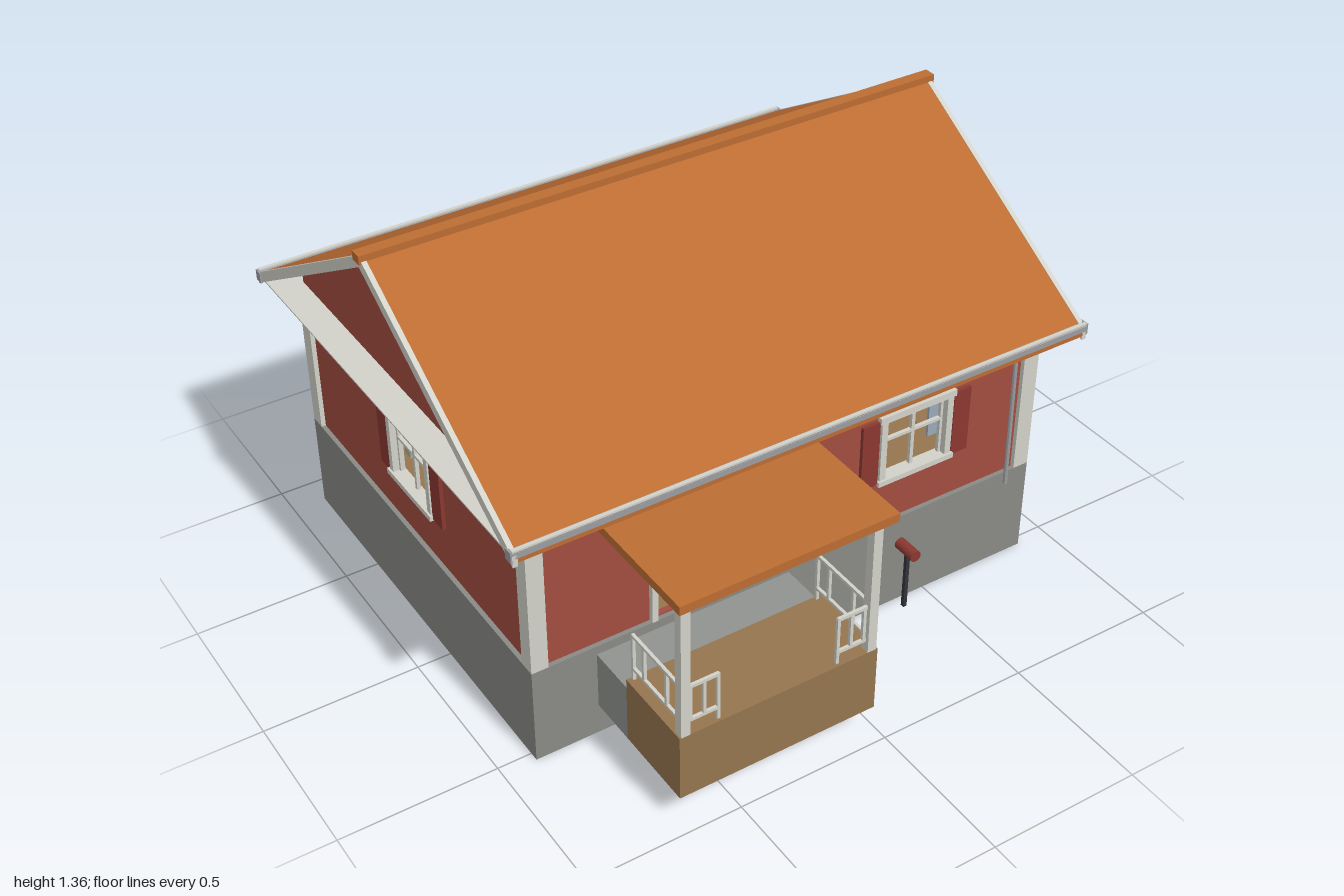
import * as THREE from 'three';

const mat = (color) => new THREE.MeshStandardMaterial({ color, side: THREE.DoubleSide, flatShading: true });
const M = {
  red: mat(0xa24d40), shutter: mat(0x8a3830), door: mat(0x6e2a26), roof: mat(0xbc6d33),
  trim: mat(0xd2d2ca), stone: mat(0x898985), gutter: mat(0x9a9ca0), wood: mat(0x957550),
  dark: mat(0x33343a), green: mat(0xa3b396), blue: mat(0x9aaabb), step: mat(0x90938f), lamp: mat(0xc8a988),
};
const ZC = -0.185; // centre line of the house
const RIDGE = 1.35, SLOPE = 0.6, HALF = 0.815;

function add(parent, name, geo, m, x = 0, y = 0, z = 0) {
  const mesh = new THREE.Mesh(geo, m);
  mesh.name = name;
  mesh.position.set(x, y, z);
  parent.add(mesh);
  return mesh;
}

// box given by its min and max on each axis
function box(parent, name, m, x0, x1, y0, y1, z0, z1) {
  return add(parent, name, new THREE.BoxGeometry(x1 - x0, y1 - y0, z1 - z0), m,
    (x0 + x1) / 2, (y0 + y1) / 2, (z0 + z1) / 2);
}

function group(parent, name, x = 0, y = 0, z = 0, ry = 0) {
  const g = new THREE.Group();
  g.name = name;
  g.position.set(x, y, z);
  g.rotation.y = ry;
  parent.add(g);
  return g;
}

function extrude(points, depth, holes = []) {
  const s = new THREE.Shape(points.map(([x, y]) => new THREE.Vector2(x, y)));
  for (const [x0, x1, y0, y1] of holes) {
    s.holes.push(new THREE.Path([[x0, y0], [x0, y1], [x1, y1], [x1, y0]].map(([x, y]) => new THREE.Vector2(x, y))));
  }
  return new THREE.ExtrudeGeometry(s, { depth, bevelEnabled: false });
}

// window with casing, glazing bars, curtains and shutters; local z points outwards
function addWindow(wall, cx, curtain) {
  const w = group(wall, 'window', cx);
  box(w, 'windowHead', M.trim, -0.14, 0.14, 0.712, 0.735, -0.025, 0.018);
  box(w, 'windowSill', M.trim, -0.14, 0.14, 0.485, 0.503, -0.025, 0.022);
  box(w, 'centreBar', M.trim, -0.006, 0.006, 0.5, 0.715, -0.018, -0.006);
  box(w, 'crossBar', M.trim, -0.115, 0.115, 0.623, 0.633, -0.018, -0.006);
  for (const s of [-1, 1]) {
    add(w, 'windowJamb', new THREE.BoxGeometry(0.022, 0.23, 0.04), M.trim, s * 0.122, 0.61, -0.005);
    add(w, 'sash', new THREE.BoxGeometry(0.01, 0.21, 0.012), M.trim, s * 0.107, 0.607, -0.012);
    add(w, 'curtain', new THREE.BoxGeometry(0.036, 0.155, 0.008), curtain, s * 0.097, 0.632, -0.035);
    add(w, 'shutter', new THREE.BoxGeometry(0.062, 0.23, 0.012), M.shutter, s * 0.169, 0.605, 0.006);
  }
}

// wall panel with openings cut for its windows
function addWall(house, name, x, z, ry, outline, windows, curtain, extraHoles = []) {
  const wall = group(house, name, x, 0, z, ry);
  const holes = windows.map((c) => [c - 0.113, c + 0.113, 0.5, 0.715]).concat(extraHoles);
  add(wall, name + 'Panel', extrude(outline, 0.02, holes), M.red, 0, 0, -0.02);
  windows.forEach((c) => addWindow(wall, c, curtain));
  return wall;
}

// inverted V section running along x
function chevron(parent, name, m, top, thick, half, x0, x1) {
  const y = (u) => top - SLOPE * u;
  const geo = extrude([[-half, y(half)], [-half, y(half) - thick], [0, top - thick],
    [half, y(half) - thick], [half, y(half)], [0, top]], x1 - x0);
  add(parent, name, geo, m, x0, 0, ZC).rotation.y = Math.PI / 2;
}

function addHouse(root) {
  const house = group(root, 'house');
  box(house, 'foundation', M.stone, -0.89, 0.89, 0, 0.33, -0.9, 0.53);
  box(house, 'floor', M.wood, -0.86, 0.86, 0.33, 0.335, -0.87, 0.5);

  // walls
  const long = [[-0.875, 0.33], [0.875, 0.33], [0.875, 0.86], [-0.875, 0.86]];
  const gable = [[-0.7, 0.33], [0.7, 0.33], [0.7, 0.895], [0, 1.32], [-0.7, 0.895]];
  const front = addWall(house, 'frontWall', 0, 0.515, 0, long, [0.435], M.blue, [[-0.475, -0.22, 0.335, 0.735]]);
  addWall(house, 'backWall', 0, -0.885, Math.PI, long, [-0.435, 0.435], M.green);
  for (const s of [-1, 1]) {
    const wall = addWall(house, 'gableWall', s * 0.875, ZC, s * Math.PI / 2, gable, [0], M.green);
    add(wall, 'gableVent', new THREE.CylinderGeometry(0.052, 0.052, 0.012, 24), M.trim, 0, 1.1, 0.004).rotation.x = Math.PI / 2;
    for (const t of [-1, 1]) {
      add(house, 'cornerPost', new THREE.BoxGeometry(0.055, 0.52, 0.055), M.trim, s * 0.8625, 0.59, ZC + t * 0.6875);
    }
  }

  // doorway with the door swung inwards
  for (const x of [-0.485, -0.213]) add(front, 'doorJamb', new THREE.BoxGeometry(0.02, 0.425, 0.04), M.trim, x, 0.5425, -0.003);
  box(front, 'doorHead', M.trim, -0.495, -0.203, 0.735, 0.757, -0.023, 0.019);
  const leaf = group(front, 'door', -0.473, 0, -0.015, 1.18);
  box(leaf, 'doorLeaf', M.door, 0, 0.25, 0.337, 0.733, -0.008, 0.008);
  add(leaf, 'doorKnob', new THREE.SphereGeometry(0.009, 10, 8), M.dark, 0.23, 0.52, 0.014);
  box(front, 'wallLantern', M.dark, -0.143, -0.121, 0.67, 0.72, 0, 0.022);

  // things inside
  box(house, 'counter', M.trim, -0.65, -0.15, 0.335, 0.475, -0.86, -0.68);
  box(house, 'counterTop', M.dark, -0.66, -0.14, 0.475, 0.487, -0.862, -0.67);
  add(house, 'pendantShade', new THREE.CylinderGeometry(0.012, 0.045, 0.03, 16, 1, true), M.lamp, 0.39, 0.7, -0.12);
  add(house, 'pendantCord', new THREE.CylinderGeometry(0.003, 0.003, 0.14, 6), M.dark, 0.39, 0.782, -0.12);
}

function addRoof(root) {
  const roof = group(root, 'roof');
  chevron(roof, 'roofSlopes', M.roof, RIDGE, 0.024, HALF, -0.962, 0.962);
  for (const x of [-0.976, 0.96]) chevron(roof, 'rakeBoard', M.trim, RIDGE + 0.002, 0.038, HALF, x, x + 0.016);
  box(roof, 'ridgeCap', M.roof, -0.983, 0.983, 1.332, 1.36, ZC - 0.02, ZC + 0.02);
  box(roof, 'soffit', M.trim, -0.972, 0.972, 0.85, 0.855, ZC - 0.775, ZC + 0.775);

  // gutters along both eaves
  for (const s of [-1, 1]) {
    const z = ZC + s * 0.8;
    add(roof, 'gutter', new THREE.BoxGeometry(1.95, 0.022, 0.03), M.gutter, 0, 0.862, z);
    add(roof, 'eaveTrim', new THREE.BoxGeometry(1.95, 0.01, 0.012), M.trim, 0, 0.874, z + s * 0.009);
    for (const x of [-0.977, 0.977]) add(roof, 'gutterEnd', new THREE.BoxGeometry(0.008, 0.036, 0.03), M.gutter, x, 0.858, z);
  }

  // downspout
  const path = new THREE.CurvePath();
  const p = [[0.85, 0.6], [0.832, 0.585], [0.83, 0.528], [0.29, 0.536]].map(([y, z]) => new THREE.Vector3(0.8, y, z));
  for (let i = 0; i < 3; i++) path.add(new THREE.LineCurve3(p[i], p[i + 1]));
  add(roof, 'downspout', new THREE.TubeGeometry(path, 30, 0.007, 8), M.gutter);
}

function addPorch(root) {
  const porch = group(root, 'porch');
  box(porch, 'porchDeck', M.wood, -0.68, -0.02, 0.105, 0.33, 0.69, 0.965);
  box(porch, 'landing', M.step, -0.68, -0.02, 0.105, 0.3, 0.53, 0.69);
  box(porch, 'porchRoof', M.roof, -0.7, 0, 0.803, 0.832, 0.53, 1);
  const T = 0.01;
  for (const s of [-1, 1]) {
    const side = group(porch, 'porchSide', -0.35);
    const x = s * 0.31;
    add(side, 'porchPost', new THREE.BoxGeometry(0.03, 0.475, 0.03), M.trim, x, 0.567, 0.95);
    for (const y of [0.37, 0.49]) {
      add(side, 'sideRail', new THREE.BoxGeometry(T, T, 0.24), M.trim, x, y, 0.815);
      add(side, 'frontRail', new THREE.BoxGeometry(0.1, T, T), M.trim, s * 0.245, y, 0.95);
    }
    for (const z of [0.927, 0.87, 0.755, 0.698]) add(side, 'sideBaluster', new THREE.BoxGeometry(T, 0.125, T), M.trim, x, 0.43, z);
    for (const u of [0.198, 0.243, 0.287]) add(side, 'frontBaluster', new THREE.BoxGeometry(T, 0.125, T), M.trim, s * u, 0.43, 0.95);
    add(side, 'railFoot', new THREE.BoxGeometry(T, 0.04, T), M.trim, x, 0.35, 0.698);
    add(side, 'railFoot', new THREE.BoxGeometry(T, 0.04, T), M.trim, s * 0.198, 0.35, 0.95);
  }
}

function addMailbox(root) {
  const mailbox = group(root, 'mailbox', 0.19, 0, 0.815);
  box(mailbox, 'mailboxPost', M.dark, -0.006, 0.006, 0.28, 0.475, -0.006, 0.006);
  add(mailbox, 'mailboxBody', new THREE.CylinderGeometry(0.018, 0.018, 0.075, 16), M.shutter, 0, 0.49, 0).rotation.x = Math.PI / 2;
}

export function createModel() {
  const root = new THREE.Group();
  root.name = 'cottage';
  addHouse(root);
  addRoof(root);
  addPorch(root);
  addMailbox(root);
  return root;
}
